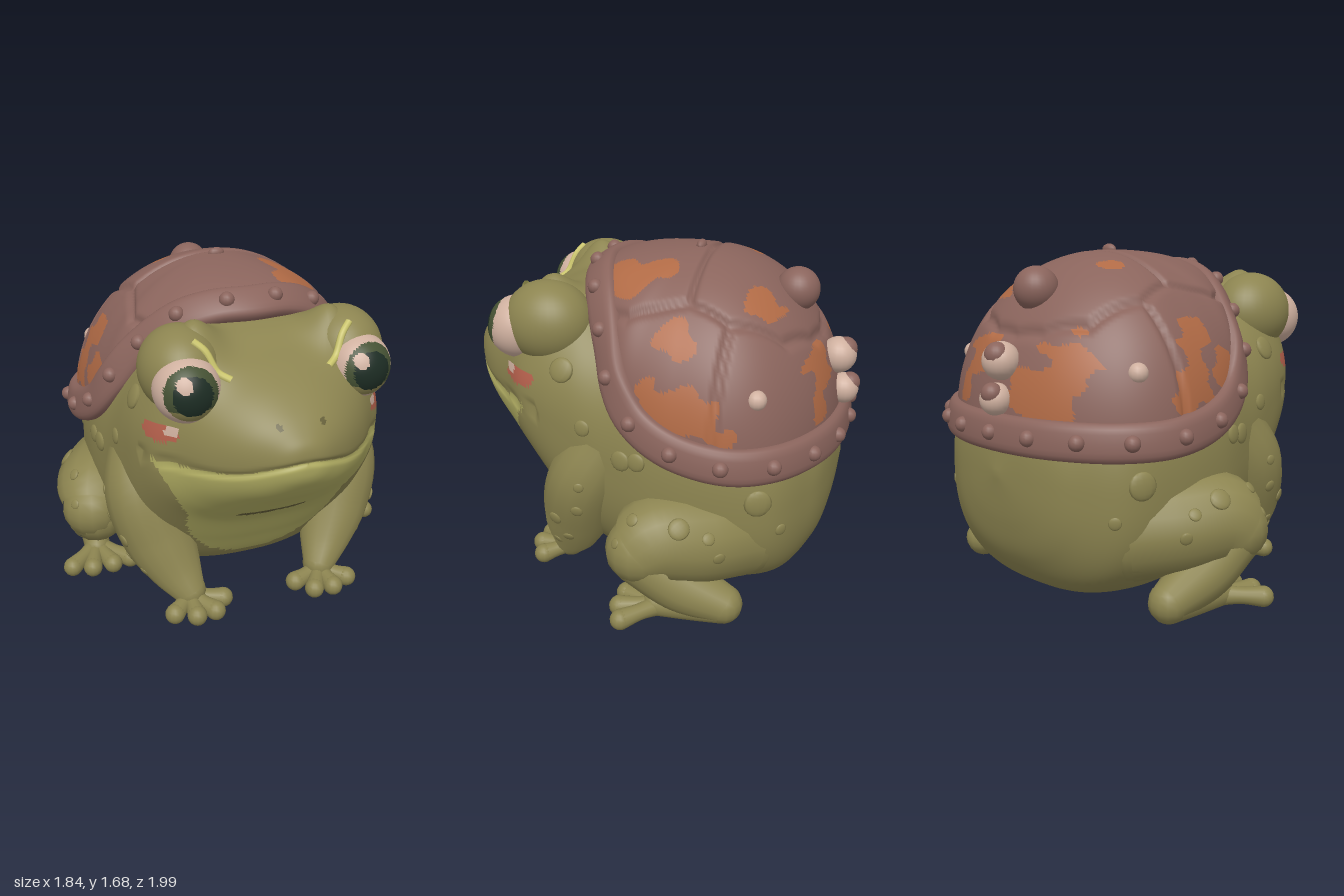
import * as THREE from 'three';
import { mergeVertices } from 'three/addons/utils/BufferGeometryUtils.js';

const V = (x, y, z) => new THREE.Vector3(x, y, z);
const mat = (name, color, side = THREE.FrontSide) => {
  const m = new THREE.MeshStandardMaterial({ color, side });
  m.name = name;
  return m;
};

// Smooth surface from a function of two parameters in 0..1
function grid(f, nu, nv) {
  const pos = [], idx = [];
  for (let i = 0; i <= nu; i++) for (let j = 0; j <= nv; j++) pos.push(...f(i / nu, j / nv).toArray());
  for (let i = 0; i < nu; i++) for (let j = 0; j < nv; j++) {
    const a = i * (nv + 1) + j, b = a + nv + 1;
    idx.push(a, b, a + 1, b, b + 1, a + 1);
  }
  let g = new THREE.BufferGeometry();
  g.setAttribute('position', new THREE.Float32BufferAttribute(pos, 3));
  g.setIndex(idx);
  g = mergeVertices(g, 1e-4);
  g.computeVertexNormals();
  return g;
}

// Sort faces into material groups by a rule on the face centre
function paint(g, rule) {
  const p = g.attributes.position, ix = g.index.array, buckets = [];
  const c = V(), q = V();
  for (let i = 0; i < ix.length; i += 3) {
    c.set(0, 0, 0);
    for (let k = 0; k < 3; k++) c.add(q.fromBufferAttribute(p, ix[i + k]));
    const m = rule(c.divideScalar(3));
    (buckets[m] ||= []).push(ix[i], ix[i + 1], ix[i + 2]);
  }
  const all = [];
  g.clearGroups();
  buckets.forEach((b, m) => {
    g.addGroup(all.length, b.length, m);
    for (const v of b) all.push(v);
  });
  g.setIndex(all);
  return g;
}

export function createModel() {
  const root = new THREE.Group();
  root.name = 'shelledToad';
  const skin = mat('oliveSkin', 0x8c8450), pale = mat('paleBelly', 0xb0ac62), shade = mat('skinFold', 0x66603a);
  const shellMat = mat('shellBrown', 0x8a645c), orange = mat('shellOrange', 0xb06a45), cream = mat('cream', 0xcfb09f);
  const pupil = mat('pupilGreen', 0x1d2d24), iris = mat('irisGreen', 0x465234);
  const blush = mat('cheekRed', 0xb5604c), brow = mat('browYellow', 0xcbc56c, THREE.DoubleSide);

  const add = (name, geo, m, parent = root) => {
    const mesh = new THREE.Mesh(geo, m);
    mesh.name = name;
    parent.add(mesh);
    return mesh;
  };
  const ball = (name, p, r, m, parent, s = [1, 1, 1], seg = 14) => {
    const b = add(name, new THREE.SphereGeometry(r, seg, Math.ceil(seg * 0.7)), m, parent);
    b.position.copy(p);
    b.scale.set(...s);
    return b;
  };
  // Tapered limb through [x, y, z, radius] points with rounded ends
  const limb = (name, pts, s, parent, n = 24) => {
    const P = pts.map(p => V(p[0] * s, p[1], p[2]));
    const curve = new THREE.CatmullRomCurve3(P);
    const rad = new THREE.CatmullRomCurve3(pts.map(p => V(p[3], 0, 0)), false, 'catmullrom');
    const g = new THREE.TubeGeometry(curve, n, 1, 16, false), a = g.attributes.position;
    for (let i = 0; i <= n; i++) {
      const c = curve.getPointAt(i / n), r = rad.getPoint(curve.getUtoTmapping(i / n)).x;
      for (let j = 0; j <= 16; j++) {
        const k = i * 17 + j, v = V().fromBufferAttribute(a, k).sub(c).multiplyScalar(r).add(c);
        a.setXYZ(k, v.x, v.y, v.z);
      }
    }
    add(name, g, skin, parent);
    for (const k of [0, pts.length - 1]) ball(name + 'End', P[k], pts[k][3], skin, parent);
  };

  // Body and head: cross-sections [z, bottom, top, half width, widest height]
  const sec = [[-.93, .66, .66, 0, .66], [-.90, .42, .86, .25, .64], [-.84, .24, .98, .42, .62], [-.7, .08, 1.18, .61, .6],
    [-.45, .02, 1.36, .69, .62], [-.15, .03, 1.44, .71, .68], [.1, .07, 1.45, .67, .76], [.28, .17, 1.48, .64, .88],
    [.42, .36, 1.46, .61, .94], [.55, .55, 1.41, .56, .98], [.66, .65, 1.37, .47, 1.0], [.78, .755, 1.31, .37, 1.01],
    [.88, .84, 1.24, .26, 1.03], [.95, .92, 1.17, .15, 1.04], [.985, .98, 1.12, .075, 1.05], [.997, 1.05, 1.05, 0, 1.05]];
  const secA = new THREE.CatmullRomCurve3(sec.map(s => V(s[0], s[1], s[2])), false, 'catmullrom');
  const secB = new THREE.CatmullRomCurve3(sec.map(s => V(s[3], s[4], 0)), false, 'catmullrom');
  const mouthY = x => 0.955 + 0.1 * Math.exp(-((x / 0.24) ** 2));
  const full = (v, e) => Math.sign(v) * Math.abs(v) ** e;
  const bodyGeo = grid((u, v) => {
    const A = secA.getPoint(u), B = secB.getPoint(u), a = v * Math.PI * 2, k = Math.cos(a);
    const e = k > 0 ? 0.9 : 0.78, c = full(k, e);
    const p = V(Math.max(B.x, 0) * full(Math.sin(a), e), B.y + c * (c > 0 ? A.z - B.y : B.y - A.y), A.x);
    if (c > 0) // swelling of the brow over each eye
      p.y += 0.17 * Math.min(1, c * 2) * Math.exp(-(((Math.abs(p.x) - 0.35) / 0.13) ** 2) - ((p.z - 0.47) / 0.15) ** 2);
    if (p.z > 0.45) { // mouth crease
      const g = Math.exp(-(((p.y - mouthY(p.x)) / 0.014) ** 2));
      p.x *= 1 - 0.03 * g;
      p.z -= 0.012 * g;
    }
    return p;
  }, 132, 128);
  paint(bodyGeo, p => {
    const x = Math.abs(p.x);
    if (p.z > 0.6 && Math.hypot(x - 0.1, p.y - 1.2) < 0.014) return 2;
    if (x > 0.35 && Math.hypot((p.z - 0.62) / 0.03, (p.y - 1.115) / 0.022) < 1) return 4;
    if (x > 0.35 && Math.hypot((p.z - 0.56) / 0.095, (p.y - 1.095) / 0.042) < 1) return 3;
    if (p.z > 0.3 && x < 0.17 && Math.abs(p.y - 0.6 - x * x * 0.5) < 0.02) return 2;
    const lim = p.y > 0.64 ? 0.41 + 0.5 * (p.y - 0.64) : 0.4 * Math.sqrt(Math.max(0, 1 - ((0.64 - p.y) / 0.43) ** 2));
    return p.y < mouthY(p.x) && p.z > (p.y > 0.64 ? 0.4 : 0.2) && x < lim ? 1 : 0;
  });
  add('bodyAndHead', bodyGeo, [skin, pale, shade, blush, cream]);

  for (const s of [1, -1]) {
    const side = s > 0 ? 'left' : 'right';
    const part = n => {
      const g = new THREE.Group();
      g.name = side + n;
      root.add(g);
      return g;
    };
    // Eyes
    const eye = part('Eye');
    ball('eyeMound', V(.395 * s, 1.335, .45), 1, skin, eye, [.19, .2, .22], 36);
    const eyeGeo = paint(new THREE.SphereGeometry(.152, 64, 44), p => {
      const r = Math.hypot(p.x - 0.008 * s, p.y - 0.012);
      if (p.z < 0) return 0;
      if (Math.hypot(p.x + 0.045, p.y - 0.065) < 0.034) return 0;
      return r < 0.088 ? 1 : r < 0.12 ? (p.y < -0.05 ? 3 : 2) : 0;
    });
    add('eyeball', eyeGeo, [cream, pupil, iris, skin], eye).position.set(.41 * s, 1.3, .6);

    // Front legs
    const arm = part('FrontLeg');
    limb('arm', [[.49, .82, .11, .17], [.54, .61, .23, .185], [.48, .38, .3, .18], [.41, .2, .36, .132], [.36, .09, .41, .085]], s, arm);
    for (const [x, z] of [[.2, .47], [.27, .56], [.37, .57], [.47, .52]])
      limb('finger', [[.36, .07, .41, .055], [(x + .36) / 2, .055, (z + .41) / 2, .04], [x, .05, z, .05]], s, arm, 10);

    // Back legs
    const leg = part('BackLeg');
    limb('thigh', [[.43, .4, -.5, .25], [.59, .42, -.35, .235], [.7, .43, -.17, .21], [.73, .37, -.1, .16]], s, leg);
    limb('shin', [[.71, .33, -.1, .15], [.7, .2, -.3, .14], [.67, .1, -.5, .095]], s, leg);
    limb('foot', [[.67, .09, -.5, .088], [.69, .08, -.35, .08], [.71, .068, -.18, .068]], s, leg);
    for (const [x, z] of [[.56, -.03], [.66, -.01], [.77, -.01], [.87, -.05]])
      limb('toe', [[.71, .06, -.2, .055], [(x + .71) / 2, .055, (z - .2) / 2, .04], [x, .05, z, .05]], s, leg, 10);
  }

  // Brow strokes and warts set on the skin by casting onto it
  root.updateMatrixWorld(true);
  const skinMeshes = [];
  root.traverse(o => o.isMesh && skinMeshes.push(o));
  const cast = (from, dir) => new THREE.Raycaster(from, dir).intersectObjects(skinMeshes, false)[0];
  const warts = new THREE.Group();
  warts.name = 'warts';
  for (const s of [1, -1]) {
    const line = [[.37, .57], [.325, .6], [.28, .635], [.23, .67]].map(([x, z]) => cast(V(x * s, 3, z), V(0, -1, 0)).point);
    add('browStroke', new THREE.TubeGeometry(new THREE.CatmullRomCurve3(line), 20, .017, 8), brow);
    for (const [y, z, r] of [[1.17, .32, .06], [.66, -.64, .065], [.8, 0, .05], [.81, -.08, .045], [.57, -.32, .05], [.52, -.45, .03],
      [.58, -.1, .03], [.42, -.5, .03], [.3, .3, .028], [.42, .35, .035], [.24, .38, .025], [.5, .22, .03], [.45, -.02, .025],
      [.92, .2, .04], [.5, -.74, .03], [.64, .2, .025]]) {
      const hit = cast(V(2 * s, y, z), V(-s, 0, 0));
      if (hit) ball('wart', hit.point, r, skin, warts, [1, 1, .3], 12).quaternion.setFromUnitVectors(V(0, 0, 1), hit.face.normal);
    }
  }
  root.add(warts);

  // Shell: a dome of elliptical arcs rising from the rim curve to the top
  const shell = new THREE.Group();
  shell.name = 'shell';
  root.add(shell);
  const half = [[0, 1.54, .29], [.17, 1.53, .26], [.33, 1.47, .2], [.5, 1.31, .11], [.61, 1.15, .04], [.67, 1.01, -.06],
    [.71, .91, -.24], [.7, .86, -.5], [.58, .85, -.7], [.32, .85, -.86], [0, .85, -.91]];
  const rimPts = [...half, ...half.slice(1, -1).reverse().map(([x, y, z]) => [-x, y, z])].map(p => V(...p));
  const rim = new THREE.CatmullRomCurve3(rimPts, true);
  rim.arcLengthDivisions = 500;
  const dome = (u, t) => {
    const P = rim.getPointAt(u % 1), c = Math.cos(t), k = Math.sin(t);
    return V(P.x * c, P.y + (1.655 - P.y) * k, -.2 + (P.z + .2) * c);
  };
  const domeGeo = grid((u, v) => dome(u, v * Math.PI / 2), 240, 64);

  // Seams between the plates, in plan, mirrored by |x|
  const seams = [[0, -.25, .43, -.25], [.43, -.25, .5, .02], [.5, .02, .44, .17], [.43, -.25, .47, -.45], [.47, -.45, .36, -.68],
    [.36, -.68, .16, -.78], [.16, -.78, 0, -.8], [.47, -.45, .8, -.43]];
  const seamDist = (x, z) => Math.min(...seams.map(([a, b, c, d]) => {
    const ex = c - a, ez = d - b, t = THREE.MathUtils.clamp(((x - a) * ex + (z - b) * ez) / (ex * ex + ez * ez), 0, 1);
    return Math.hypot(x - a - ex * t, z - b - ez * t);
  }));
  const dp = domeGeo.attributes.position, dn = domeGeo.attributes.normal;
  for (let i = 0; i < dp.count; i++) {
    const v = V().fromBufferAttribute(dp, i), d = seamDist(Math.abs(v.x), v.z);
    v.addScaledVector(V().fromBufferAttribute(dn, i), -.022 * Math.exp(-((d / .014) ** 2)));
    dp.setXYZ(i, v.x, v.y, v.z);
  }
  domeGeo.computeVertexNormals();
  // Ragged orange patches [x, y, z, radius]
  const patches = [[.57, 1.38, -.22, .09], [.69, 1.08, -.2, .13], [.68, 1.07, -.36, .1], [.3, 1.57, .06, .13], [.27, 1.61, -.1, .07],
    [.28, 1.5, -.55, .1], [-.23, 1.6, -.4, .055], [-.6, 1.28, -.28, .1], [-.33, 1.17, -.78, .13], [.22, 1.18, -.8, .12],
    [-.28, .99, -.84, .13], [-.12, 1.05, -.87, .1], [.3, 1.02, -.82, .08], [-.68, 1.06, -.36, .12], [-.65, 1.12, -.14, .09], [.66, .97, -.5, .06]];
  paint(domeGeo, p => {
    const w = 1 + .3 * Math.sin(23 * p.x + 9 * p.y) * Math.sin(27 * p.z + 4) + .2 * Math.sin(41 * p.y + 30 * p.z);
    return patches.some(([x, y, z, r]) => Math.hypot(p.x - x, p.y - y, p.z - z) < r * w) ? 1 : 0;
  });
  add('shellDome', domeGeo, [shellMat, orange], shell);

  // Thick rim band with studs, lying flatter at the front
  const frame = u => {
    const T = rim.getTangentAt(u % 1), P = rim.getPointAt(u % 1), B = dome(u, .3).sub(P).normalize();
    B.z -= .6 * THREE.MathUtils.smoothstep(P.z, 0, .28);
    const N = T.clone().cross(B).normalize();
    return { P, B: N.clone().cross(T), N };
  };
  add('shellRim', grid((u, v) => {
    const { P, B, N } = frame(u), a = v * Math.PI * 2;
    return P.addScaledVector(N, .05 * full(Math.cos(a), .7)).addScaledVector(B, .088 * full(Math.sin(a), .7));
  }, 140, 20), shellMat, shell);
  for (let i = 0; i < 21; i++) {
    const { P, N } = frame((i + .5) / 21);
    ball('rimStud', P.addScaledVector(N, .045), .037, shellMat, shell);
  }

  // Knobs on the shell
  ball('largeKnob', V(0, 1.48, -.665), .106, shellMat, shell, [1, 1, 1], 28);
  ball('topKnob', V(0, 1.655, -.19), .035, shellMat, shell, [1.2, .8, .7]);
  for (const s of [1, -1]) ball('creamWart', V(.575 * s, 1.14, -.6), .047, cream, shell);
  for (const [y, z, r] of [[1.17, -.88, .088], [1, -.915, .075]]) {
    ball('rearCreamKnob', V(0, y, z), r, cream, shell, [1, 1, 1], 20);
    ball('rearBrownKnob', V(-.01, y + .03, z - .03), r * .66, shellMat, shell, [1, 1, 1], 20);
  }
  return root;
}
